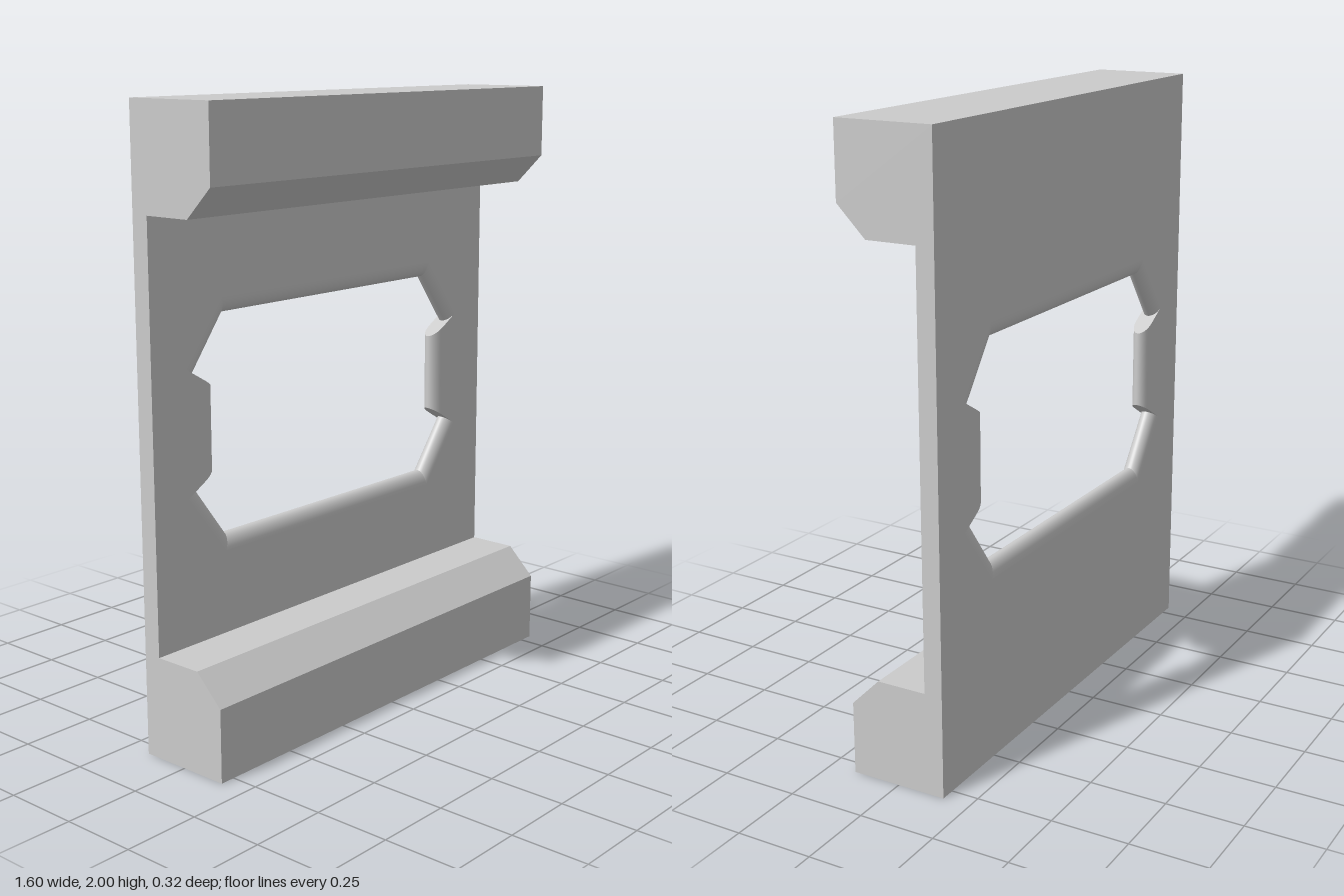
import * as THREE from 'three';

const W = 0.8;            // half width
const BACK = -0.16, FACE = -0.1;   // plate back and front depth
const MID_Y = 1;

// Side profile as (z, y): two chamfered rails joined by a thin plate
const PROFILE = [
  [BACK, 0], [0.16, 0], [0.16, 0.235], [0.065, 0.33], [FACE, 0.33],
  [FACE, 1.67], [0.065, 1.67], [0.16, 1.765], [0.16, 2], [BACK, 2],
];

// One quadrant of the opening: the lip (narrowest) and the rim (widest)
const LIP = [[0.54, 0.13], [0.62, 0.176], [0.49, 0.35]];
const RIM = [[0.59, 0.159], [0.66, 0.2], [0.505, 0.4]];

// Full counter-clockwise opening outline; k = 0 at the lip, 1 at the rim
function opening(k) {
  const q = LIP.map(([x, y], i) => [
    x + (RIM[i][0] - x) * k, y + (RIM[i][1] - y) * k,
  ]);
  const flip = (sx, sy) => q.map(([x, y]) => new THREE.Vector2(sx * x, MID_Y + sy * y));
  return [
    ...flip(1, 1), ...flip(-1, 1).reverse(),
    ...flip(-1, -1), ...flip(1, -1).reverse(),
  ];
}

function indexed(pos, idx) {
  const g = new THREE.BufferGeometry();
  g.setAttribute('position', new THREE.Float32BufferAttribute(pos, 3));
  g.setIndex(idx);
  g.computeVertexNormals();
  return g;
}

// Flat panel pierced by the opening, facing +z
function panel(y0, y1) {
  const s = new THREE.Shape([
    new THREE.Vector2(-W, y0), new THREE.Vector2(W, y0),
    new THREE.Vector2(W, y1), new THREE.Vector2(-W, y1),
  ]);
  s.holes.push(new THREE.Path(opening(1)));
  return new THREE.ShapeGeometry(s);
}

export function createModel() {
  const group = new THREE.Group();
  const material = new THREE.MeshStandardMaterial({ color: 0xcccccc });
  const add = (name, geometry) => {
    const mesh = new THREE.Mesh(geometry, material);
    mesh.name = name;
    group.add(mesh);
  };

  // Pierced plate faces
  add('plateFront', panel(0.33, 1.67).translate(0, 0, FACE));
  add('plateBack', panel(0, 2).rotateY(Math.PI).translate(0, 0, BACK));

  // Rail surfaces: each profile edge swept across the width
  PROFILE.forEach(([z0, y0], i) => {
    if (i === 4 || i === 9) return;   // these edges are the pierced faces
    const [z1, y1] = PROFILE[i + 1];
    add(i < 4 ? 'lowerRail' : 'upperRail', indexed(
      [-W, y0, z0, W, y0, z0, W, y1, z1, -W, y1, z1],
      [0, 1, 2, 0, 2, 3],
    ));
  });

  // End caps
  for (const side of [-1, 1]) {
    const s = new THREE.Shape(PROFILE.map(([z, y]) => new THREE.Vector2(-side * z, y)));
    add(side > 0 ? 'leftEnd' : 'rightEnd',
      new THREE.ShapeGeometry(s).rotateY(side * Math.PI / 2).translate(side * W, 0, 0));
  }

  // Rounded wall of the opening, one smooth strip per outline side
  const STEPS = 16;
  const rings = [];
  for (let j = 0; j <= STEPS; j++) {
    const a = -Math.PI / 2 + Math.PI * j / STEPS;
    const z = (BACK + FACE) / 2 + (FACE - BACK) / 2 * Math.sin(a);
    rings.push(opening(1 - Math.cos(a)).map((p) => [p.x, p.y, z]));
  }
  const count = rings[0].length;
  for (let i = 0; i < count; i++) {
    const pos = [], idx = [];
    rings.forEach((r, j) => {
      pos.push(...r[i], ...r[(i + 1) % count]);
      const a = 2 * j;
      if (j < STEPS) idx.push(a, a + 2, a + 1, a + 1, a + 2, a + 3);
    });
    add('openingEdge', indexed(pos, idx));
  }
  return group;
}
